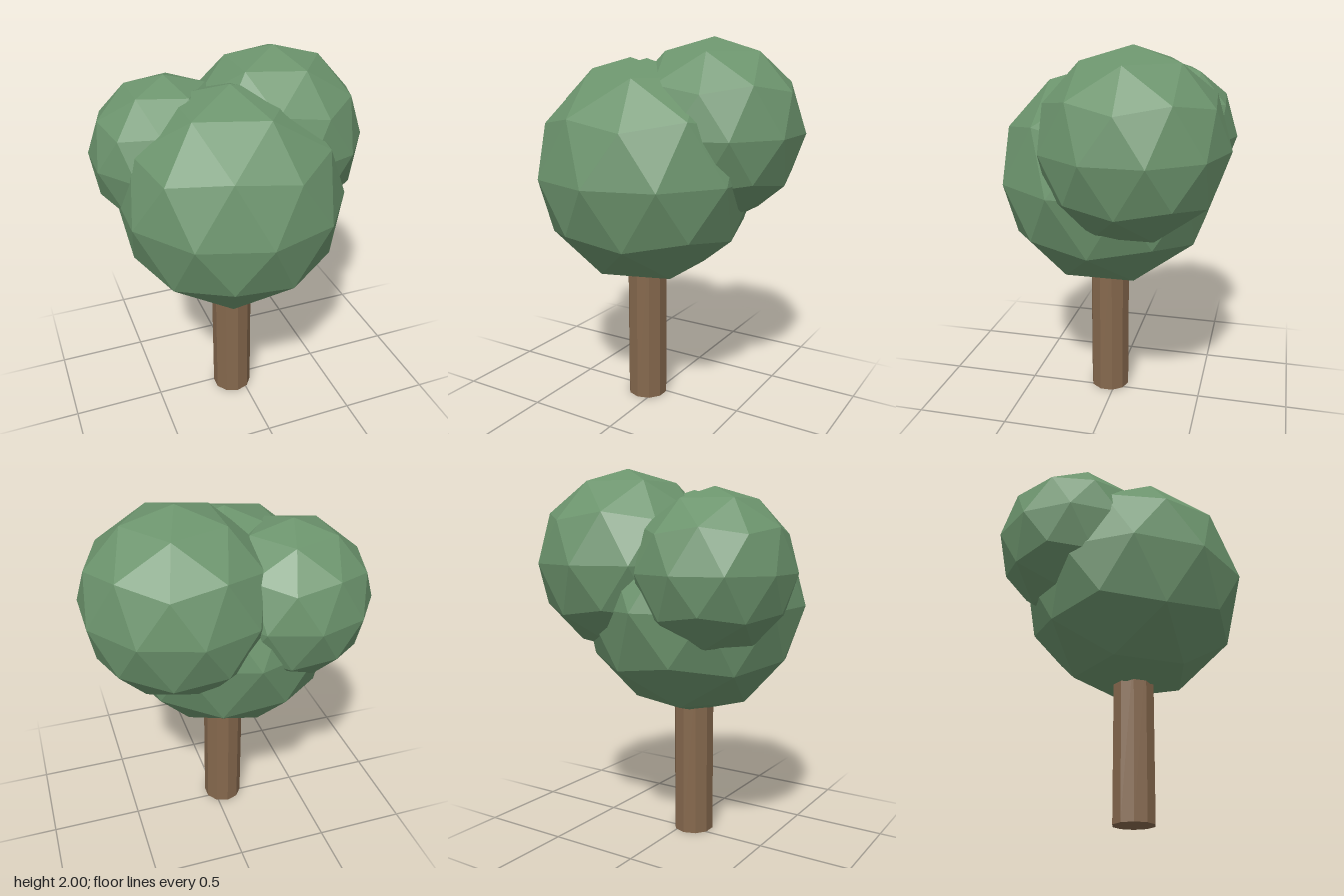
import * as THREE from 'three';

export function createModel() {
  const tree = new THREE.Group();
  tree.name = 'tree';
  const bark = new THREE.MeshStandardMaterial({ color: 0x85684d, flatShading: true });
  const leaf = new THREE.MeshStandardMaterial({ color: 0x6c946d, flatShading: true });

  // Ten-sided trunk, its top buried in the main crown
  const trunkHeight = 0.9;
  const trunk = new THREE.Mesh(new THREE.CylinderGeometry(0.11, 0.11, trunkHeight, 10), bark);
  trunk.name = 'trunk';
  trunk.position.set(-0.055, trunkHeight / 2, 0.037);
  tree.add(trunk);

  // Faceted foliage balls, turned so that a corner points straight up
  const tilt = -Math.atan(2 / (1 + Math.sqrt(5)));
  const crowns = [
    ['mainCrown', 0.602, -0.055, 1.288, 0.035],
    ['leftCrown', 0.49, 0.245, 1.51, -0.15],
    ['rightCrown', 0.415, -0.32, 1.475, -0.21],
  ];
  for (const [name, radius, x, y, z] of crowns) {
    const crown = new THREE.Mesh(new THREE.IcosahedronGeometry(radius, 1).rotateZ(tilt), leaf);
    crown.name = name;
    crown.position.set(x, y, z);
    tree.add(crown);
  }
  return tree;
}
